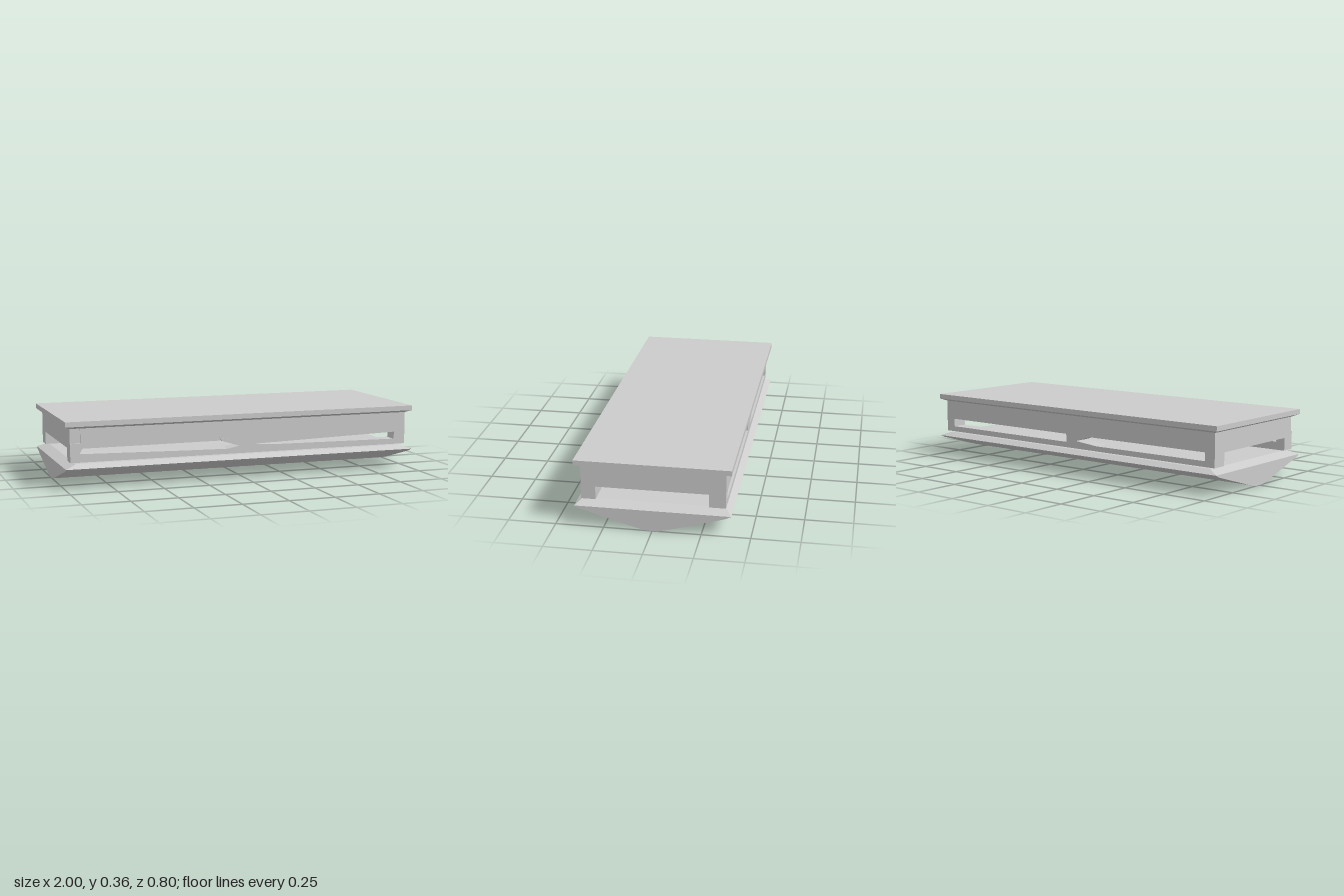
import * as THREE from 'three';

const material = new THREE.MeshStandardMaterial({ color: 0xcccccc, flatShading: true, side: THREE.DoubleSide });

function add(group, name, geometry, x = 0, y = 0, z = 0) {
  const mesh = new THREE.Mesh(geometry, material);
  mesh.name = name;
  mesh.position.set(x, y, z);
  group.add(mesh);
  return mesh;
}

const points = (list) => list.map(([x, y]) => new THREE.Vector2(x, y));

// Outline with holes, extruded along +z
function panel(outline, holes, depth) {
  const shape = new THREE.Shape(points(outline));
  for (const hole of holes) shape.holes.push(new THREE.Path(points(hole)));
  return new THREE.ExtrudeGeometry(shape, { depth, bevelEnabled: false });
}

// Box whose lower and upper rectangles differ in half size
function taperedBox(y0, y1, lower, upper) {
  const geometry = new THREE.BoxGeometry(2, 2, 2);
  const p = geometry.attributes.position;
  for (let i = 0; i < p.count; i++) {
    const top = p.getY(i) > 0;
    const [hx, hz] = top ? upper : lower;
    p.setXYZ(i, p.getX(i) * hx, top ? y1 : y0, p.getZ(i) * hz);
  }
  geometry.computeVertexNormals();
  return geometry;
}

export function createModel() {
  const group = new THREE.Group();

  // Keel-shaped base with bevelled deck
  const half = [[0.03, 0.001], [0.1, 0.018], [0.375, 0.099], [0.4, 0.112]];
  const mirrored = half.map(([z, y]) => [-z, y]).reverse();
  const keel = panel([...half, ...mirrored], [], 2);
  keel.translate(0, 0, -1).rotateY(Math.PI / 2).translate(0, -0.001, 0);
  add(group, 'keel', keel);
  add(group, 'deck', taperedBox(0.111, 0.133, [1, 0.4], [0.94, 0.365]));

  // Roof slab with bevelled underside
  add(group, 'roofSlab', new THREE.BoxGeometry(2, 0.027, 0.8), 0, 0.3465, 0);
  add(group, 'roofBevel', taperedBox(0.32, 0.333, [0.97, 0.37], [1, 0.4]));

  // Body above the openings
  add(group, 'bodyCore', new THREE.BoxGeometry(1.94, 0.112, 0.59), 0, 0.266, 0);

  // Front wall with slots and a notched upper corner
  const frontWall = panel(
    [[-0.97, 0.14], [0.97, 0.14], [0.97, 0.322], [-0.915, 0.322], [-0.915, 0.24], [-0.97, 0.24]],
    [
      [[-0.92, 0.185], [-0.35, 0.172], [-0.1, 0.168], [-0.03, 0.182], [-0.14, 0.215], [-0.905, 0.213]],
      [[0.05, 0.187], [0.2, 0.178], [0.9, 0.17], [0.905, 0.21]],
    ], 0.075);
  add(group, 'frontWall', frontWall, 0, 0, 0.295);
  add(group, 'cornerFill', new THREE.BoxGeometry(0.055, 0.082, 0.065), -0.9425, 0.281, 0.3275);

  // Small slanted flap beside the front slot
  const flap = panel([[-0.15, 0.236], [-0.03, 0.187], [-0.03, 0.18], [-0.14, 0.214]], [], 0.012);
  add(group, 'slotFlap', flap, 0, 0, 0.366);

  // Back wall with slots
  const backWall = panel(
    [[-0.97, 0.14], [0.97, 0.14], [0.97, 0.322], [-0.97, 0.322]],
    [
      [[-0.91, 0.17], [-0.2, 0.168], [-0.05, 0.182], [-0.15, 0.213], [-0.91, 0.215]],
      [[0.02, 0.17], [0.91, 0.17], [0.91, 0.215], [0.02, 0.215]],
    ], 0.085);
  add(group, 'backWall', backWall, 0, 0, -0.37);

  return group;
}
